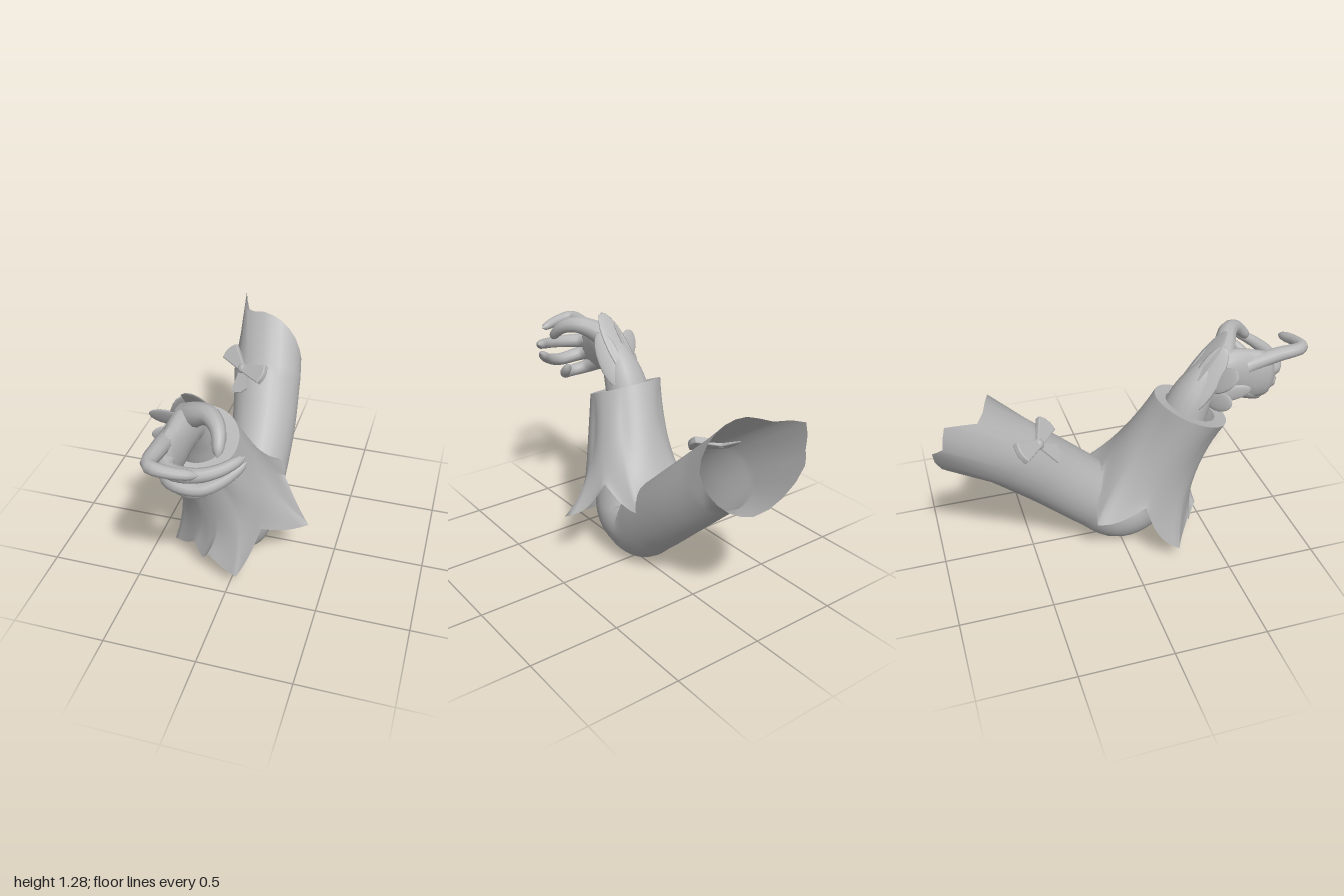
import * as THREE from 'three';

const V = (x, y, z) => new THREE.Vector3(x, y, z);
const cloth = new THREE.MeshStandardMaterial({ color: 0xb6b6b6, side: THREE.DoubleSide });
cloth.name = 'plain grey';

// Smooth skin over closed loops of points
function skin(rows) {
  const n = rows[0].length, pos = [], idx = [];
  rows.forEach(r => r.forEach(p => pos.push(p.x, p.y, p.z)));
  for (let i = 0; i < rows.length - 1; i++) {
    for (let j = 0; j < n; j++) {
      const a = i * n + j, b = i * n + (j + 1) % n;
      idx.push(a, b, a + n, b, b + n, a + n);
    }
  }
  const g = new THREE.BufferGeometry();
  g.setAttribute('position', new THREE.Float32BufferAttribute(pos, 3));
  g.setIndex(idx);
  g.computeVertexNormals();
  return g;
}

function ring(c, u, v, ru, rv, n) {
  return Array.from({ length: n }, (_, j) => {
    const a = j / n * Math.PI * 2;
    return c.clone().addScaledVector(u, Math.cos(a) * ru).addScaledVector(v, Math.sin(a) * rv);
  });
}

// Loops along a limb that bends in the yz plane; stations are [x, y, z, halfWidth, halfDepth]
function limb(stations, steps, n) {
  const path = new THREE.CatmullRomCurve3(stations.map(s => V(s[0], s[1], s[2])));
  const size = new THREE.CatmullRomCurve3(stations.map(s => V(s[3], s[4], 0)));
  const X = V(1, 0, 0), rows = [];
  for (let i = 0; i <= steps; i++) {
    const t = i / steps, T = path.getTangent(t), s = size.getPoint(t);
    T.x = 0;
    rows.push(ring(path.getPoint(t), X, T.normalize().cross(X), s.x, s.y, n));
  }
  return rows;
}

// Tapered finger with a rounded tip
function finger(points, r0, r1) {
  const path = new THREE.CatmullRomCurve3(points.map(p => V(...p)));
  const n = 20, f = path.computeFrenetFrames(n, false), rows = [];
  for (let i = 0; i <= n; i++) {
    const t = i / n;
    const tip = t > 0.88 ? Math.sqrt(Math.max(0.001, 1 - ((t - 0.88) / 0.12) ** 2)) : 1;
    const r = (r0 + (r1 - r0) * t) * tip;
    rows.push(ring(path.getPointAt(t), f.normals[i], f.binormals[i], r, r, 10));
  }
  return skin(rows);
}

// Flat rounded petal from base to tip, facing along out
function petal(base, tip, width, out) {
  const y = tip.clone().sub(base), len = y.length();
  y.normalize();
  const x = y.clone().cross(out).normalize(), z = x.clone().cross(y);
  const g = new THREE.SphereGeometry(1, 14, 10);
  g.scale(width / 2, len / 2, 0.012);
  g.applyMatrix4(new THREE.Matrix4().makeBasis(x, y, z).setPosition(base.clone().add(tip).multiplyScalar(0.5)));
  return g;
}

export function createModel() {
  const model = new THREE.Group();
  const add = (geo, name, parent = model) => {
    const m = new THREE.Mesh(geo, cloth);
    m.name = name;
    parent.add(m);
    return m;
  };
  const group = name => {
    const g = new THREE.Group();
    g.name = name;
    model.add(g);
    return g;
  };

  // Upper sleeve, bent at the elbow, with a slanted torn opening
  const rim = new THREE.CatmullRomCurve3([
    [0.12, 0.83, -0.66], [0.08, 0.96, -0.66], [-0.01, 1.05, -0.68], [-0.12, 1.075, -0.71],
    [-0.24, 1.04, -0.77], [-0.29, 1.08, -0.93], [-0.28, 0.95, -0.95], [-0.23, 0.9, -1],
    [-0.14, 0.74, -0.96], [-0.03, 0.645, -0.89], [0.05, 0.65, -0.8], [0.1, 0.72, -0.71]
  ].map(p => V(...p)), true);
  const opening = Array.from({ length: 24 }, (_, j) => rim.getPoint(j / 24));
  const arm = limb([
    [-0.07, 0.74, -0.61, 0.2, 0.185], [-0.03, 0.52, -0.38, 0.185, 0.185],
    [-0.02, 0.31, -0.15, 0.175, 0.188], [-0.025, 0.19, 0.01, 0.17, 0.19],
    [-0.02, 0.235, 0.135, 0.168, 0.178], [-0.06, 0.43, 0.2, 0.165, 0.165],
    [-0.12, 0.65, 0.27, 0.14, 0.14]], 36, 24);
  add(skin([opening, ...arm]), 'upperSleeve');

  // Flared cuff with a ragged hem, tips and notches in turn: [angle around wrist, x, y, z]
  const hem = [
    [-125, -0.31, 0.32, -0.2], [-90, -0.1, 0.52, -0.11], [-55, 0.14, 0.41, -0.235],
    [-25, 0.2, 0.5, 0.03], [5, 0.375, 0.295, 0.17], [35, 0.145, 0.33, 0.31],
    [62, 0.05, 0.1, 0.47], [86, -0.12, 0.19, 0.43], [98, -0.17, 0.11, 0.38],
    [110, -0.22, 0.195, 0.36], [150, -0.37, 0.09, 0.25], [195, -0.34, 0.4, 0.06]];
  const around = (c, rx, rv, a) => V(c.x + rx * Math.cos(a), c.y - 0.39 * rv * Math.sin(a), c.z + 0.92 * rv * Math.sin(a));
  const wrist = V(-0.17, 0.89, 0.35), middle = V(-0.08, 0.55, 0.2), down = V(0, -0.92, -0.39);
  const columns = [];
  hem.forEach((h, i) => {
    const k = hem[(i + 1) % hem.length], end = k[0] < h[0] ? k[0] + 360 : k[0];
    const from = V(h[1], h[2], h[3]), to = V(k[1], k[2], k[3]);
    for (let q = 0; q < 6; q++) {
      const t = q / 6, a = (h[0] + (end - h[0]) * t) * Math.PI / 180;
      const p2 = from.clone().lerp(to, t);
      p2.addScaledVector(down, 0.14 * from.distanceTo(to) * Math.sin(Math.PI * t));
      const p0 = around(wrist, 0.205, 0.205, a), mid = around(middle, 0.245, 0.24, a);
      const ctrl = mid.multiplyScalar(2).addScaledVector(p0, -0.5).addScaledVector(p2, -0.5);
      columns.push({ a, curve: new THREE.QuadraticBezierCurve3(p0, ctrl, p2) });
    }
  });
  const cuffRows = Array.from({ length: 13 }, (_, i) => columns.map(c => c.curve.getPoint(i / 12)));
  add(skin(cuffRows), 'flaredCuff');

  // Flat turned-in lip at the wrist
  const inner = V(-0.17, 0.885, 0.348);
  add(skin([
    columns.map(c => around(inner, 0.14, 0.14, c.a)),
    columns.map(c => around(wrist, 0.205, 0.205, c.a))]), 'cuffLip');

  // Hand
  const hand = group('hand');
  add(skin(limb([
    [-0.165, 0.78, 0.29, 0.135, 0.13], [-0.165, 0.95, 0.36, 0.115, 0.11],
    [-0.165, 1.06, 0.45, 0.08, 0.095], [-0.175, 1.07, 0.56, 0.07, 0.125],
    [-0.185, 1.04, 0.66, 0.06, 0.14], [-0.195, 1.03, 0.76, 0.05, 0.125],
    [-0.195, 1.03, 0.81, 0.004, 0.01]], 28, 16)), 'palm', hand);
  const fingers = {
    thumb: [[-0.17, 1.12, 0.5], [-0.1, 1.18, 0.55], [-0.02, 1.215, 0.6], [0.04, 1.195, 0.67], [0.065, 1.11, 0.76]],
    indexFinger: [[-0.2, 1.1, 0.63], [-0.2, 1.135, 0.8], [-0.19, 1.15, 0.945], [-0.1, 1.14, 0.955], [0.03, 1.12, 0.92]],
    middleFinger: [[-0.2, 1.06, 0.68], [-0.16, 1.04, 0.81], [-0.03, 1.05, 0.84], [0.08, 1.07, 0.8], [0.18, 1.105, 0.71]],
    ringFinger: [[-0.2, 1.0, 0.66], [-0.16, 0.965, 0.79], [-0.02, 0.95, 0.81], [0.08, 0.985, 0.77], [0.18, 1.06, 0.69]],
    littleFinger: [[-0.2, 0.97, 0.6], [-0.15, 0.9, 0.73], [-0.06, 0.885, 0.755], [0.01, 0.9, 0.71], [0.02, 0.97, 0.64]]
  };
  for (const [name, pts] of Object.entries(fingers)) {
    add(finger(pts, name === 'thumb' ? 0.07 : 0.048, 0.024), name, hand);
  }

  // Ruffle petals around the wrist: base, tip, width, outward direction
  const ruffle = group('wristRuffle');
  [
    [[-0.17, 0.93, 0.24], [-0.14, 1.28, 0.54], 0.15, [0, 0.6, -0.8]],
    [[-0.08, 0.92, 0.27], [-0.08, 1.19, 0.48], 0.13, [0.6, 0.5, -0.6]],
    [[-0.26, 0.91, 0.3], [-0.2, 1.23, 0.51], 0.14, [-0.7, 0.4, -0.5]],
    [[-0.22, 1.02, 0.42], [-0.34, 1.14, 0.53], 0.12, [-0.3, 0.5, -0.8]],
    [[-0.22, 0.95, 0.41], [-0.355, 0.99, 0.5], 0.11, [-0.5, 0.2, -0.7]],
    [[-0.22, 0.95, 0.43], [-0.27, 1.0, 0.64], 0.09, [-0.9, 0, -0.3]]
  ].forEach(([b, t, w, o]) => add(petal(V(...b), V(...t), w, V(...o)), 'rufflePetal', ruffle));

  // Bow on the upper sleeve: two loops, two tails and a knot
  const bow = group('bow');
  const shape = new THREE.Shape();
  shape.moveTo(0, -0.015);
  shape.lineTo(0.15, -0.05);
  shape.quadraticCurveTo(0.18, 0, 0.15, 0.05);
  shape.lineTo(0, 0.015);
  const loopGeo = new THREE.ExtrudeGeometry(shape, { depth: 0.02, bevelSize: 0.006, bevelThickness: 0.008, bevelSegments: 2 });
  const tailShape = new THREE.Shape([[-0.015, 0], [0.015, 0], [0.04, -0.13], [0, -0.15], [-0.035, -0.14]].map(p => new THREE.Vector2(...p)));
  const tailGeo = new THREE.ExtrudeGeometry(tailShape, { depth: 0.01, bevelEnabled: false });
  add(loopGeo, 'bowLoop', bow);
  add(loopGeo, 'bowLoop', bow).rotation.z = Math.PI - 0.5;
  add(tailGeo, 'bowTail', bow).rotation.z = 0.15;
  add(tailGeo, 'bowTail', bow).rotation.z = 0.4;
  const knot = add(new THREE.SphereGeometry(0.03, 12, 8), 'bowKnot', bow);
  knot.position.z = 0.012;
  knot.scale.z = 0.8;
  const out = V(-0.4, 0.7, 0.6).normalize();
  const across = V(0.84, 0.1, 0.4);
  across.addScaledVector(out, -across.dot(out)).normalize();
  bow.quaternion.setFromRotationMatrix(new THREE.Matrix4().makeBasis(across, out.clone().cross(across), out));
  bow.position.set(-0.18, 0.815, -0.475);

  return model;
}
